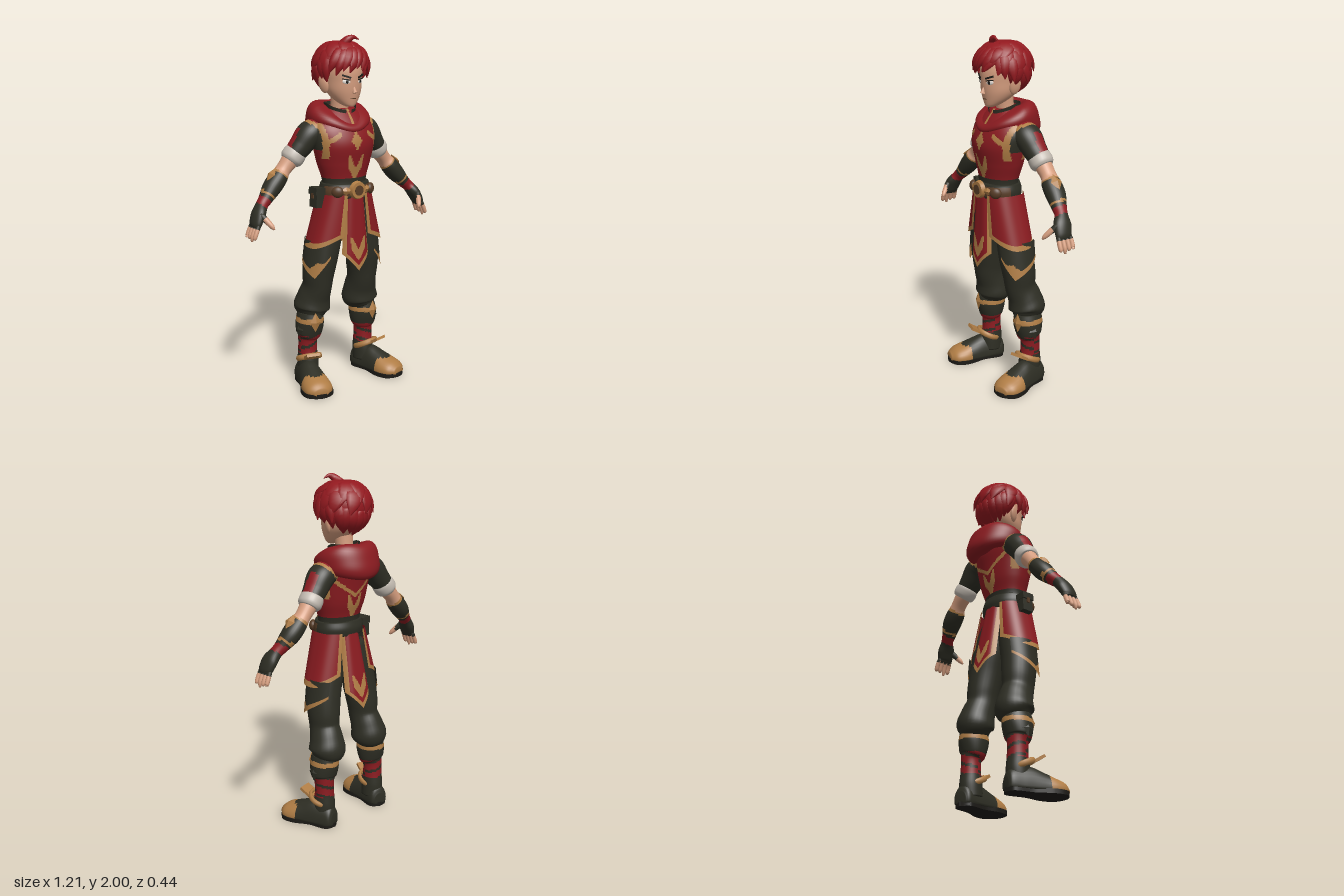
import * as THREE from 'three';
import { mergeVertices } from 'three/addons/utils/BufferGeometryUtils.js';

const V = (x, y, z) => new THREE.Vector3(x, y, z);
const { sin, cos, abs, min, max, sign, PI } = Math;

// Surface from fn(u, v); paint(point, u, v) names the colour of each cell
function grid(fn, nu, nv, paint) {
  const pts = [], cells = {};
  for (let j = 0; j <= nv; j++) for (let i = 0; i <= nu; i++) pts.push(fn(i / nu, j / nv));
  for (let j = 0; j < nv; j++) for (let i = 0; i < nu; i++) {
    const a = j * (nu + 1) + i, b = a + 1, d = a + nu + 1, c = d + 1;
    const mid = V(0, 0, 0).add(pts[a]).add(pts[b]).add(pts[c]).add(pts[d]).multiplyScalar(0.25);
    const key = typeof paint === 'string' ? paint : paint(mid, (i + 0.5) / nu, (j + 0.5) / nv);
    (cells[key] ??= []).push(a, b, c, a, c, d);
  }
  let g = new THREE.BufferGeometry().setFromPoints(pts);
  g.setIndex(Object.values(cells).flat());
  let start = 0;
  Object.values(cells).forEach((list, k) => { g.addGroup(start, list.length, k); start += list.length; });
  g = mergeVertices(g, 1e-5);
  g.computeVertexNormals();
  g.userData.colours = Object.keys(cells);
  return g;
}

// Capped tube through rows [x, y, z, radius along ref, radius across]; axis fixes the ring direction
function loft(rows, paint, nu = 24, nv = 24, ref = V(0, 0, 1), axis = null) {
  const path = new THREE.CatmullRomCurve3(rows.map(r => V(r[0], r[1], r[2])), false, 'catmullrom');
  const size = new THREE.CatmullRomCurve3(rows.map(r => V(r[3], r[4], 0)), false, 'catmullrom');
  return grid((u, v) => {
    const j = Math.round(v * nv), t = min(1, max(0, (j - 1) / (nv - 2)));
    const k = j === 0 || j === nv ? 0 : 1;
    const c = path.getPoint(t), dir = axis ?? path.getTangent(t), s = size.getPoint(t);
    const a = ref.clone().addScaledVector(dir, -ref.dot(dir)).normalize(), b = dir.clone().cross(a);
    const w = (u % 1) * 2 * PI;
    return c.addScaledVector(a, k * s.x * cos(w)).addScaledVector(b, k * s.y * sin(w));
  }, nu, nv, paint);
}

const place = (g, pos, rot = [0, 0, 0], scale = [1, 1, 1]) => g.applyMatrix4(new THREE.Matrix4().compose(
  V(...pos), new THREE.Quaternion().setFromEuler(new THREE.Euler(...rot)), V(...scale)));
const ball = (pos, scale, rot) => place(new THREE.SphereGeometry(1, 20, 14), pos, rot, scale);
const box = (pos, size, rot) => place(new THREE.BoxGeometry(1, 1, 1), pos, rot, size);
const gem = (pos, size, rot) => place(new THREE.OctahedronGeometry(1), pos, rot, size);

function mirrored(g) {
  const m = g.clone().scale(-1, 1, 1);
  const ix = m.index ? [...m.index.array] : [...Array(m.attributes.position.count).keys()];
  for (let i = 0; i < ix.length; i += 3) [ix[i], ix[i + 1]] = [ix[i + 1], ix[i]];
  m.setIndex(ix);
  return m;
}

// Two-horned flame emblem centred at the origin
const flame = (x, y) => {
  const X = abs(x);
  if (y > 0) return y < 0.07 && abs(X - 0.024 - 0.3 * y) < 0.022 - 0.22 * y;
  return y > -0.06 && X < 0.046 + 0.62 * y;
};

export function createModel() {
  const model = new THREE.Group();
  const colours = { hair: 0x93191f, cloth: 0x8a1b20, gold: 0xb07d45, dark: 0x2e2e24, leather: 0x573c26,
    skin: 0xd69e7f, linen: 0xc2bab0, sole: 0x1d1b17, eyeWhite: 0xe6dfd8 };
  const mats = {};
  for (const [name, hex] of Object.entries(colours)) {
    mats[name] = new THREE.MeshStandardMaterial({ color: hex, side: THREE.DoubleSide });
    mats[name].name = name;
  }
  const part = (name, g, colour, pair = false) => {
    const list = g.userData.colours?.map(c => mats[c]);
    const mat = colour ? mats[colour] : list.length > 1 ? list : list[0];
    [g, ...(pair ? [mirrored(g)] : [])].forEach((geo, i) => {
      const mesh = new THREE.Mesh(geo, mat);
      mesh.name = pair ? (i ? 'right' : 'left') + name[0].toUpperCase() + name.slice(1) : name;
      model.add(mesh);
    });
  };

  // Tunic
  part('tunic', loft([[0, 1.0, 0.02, 0.09, 0.135], [0, 1.1, 0.03, 0.103, 0.14], [0, 1.2, 0.025, 0.1, 0.135],
    [0, 1.3, 0.02, 0.12, 0.165], [0, 1.4, 0.02, 0.135, 0.19], [0, 1.48, 0.005, 0.13, 0.2],
    [0, 1.54, -0.01, 0.11, 0.17], [0, 1.6, -0.02, 0.07, 0.09]], ({ x, y, z }) => {
    const X = abs(x), trim = X - 0.165 - (y - 1.42) * 0.1;
    if (y < 1.22) return 'dark';
    if (y > 1.33 && abs(trim) < 0.013) return 'gold';
    if (y > 1.38 && trim > 0) return 'dark';
    if (flame(x, y - 1.28)) return 'gold';
    if (z > 0.02) return X / 0.036 + abs(y - 1.43) / 0.055 < 1 || (X < 0.008 && y > 1.43) ||
      (X > 0.09 && X < 0.17 && abs(y - 1.53 + 0.67 * X) < 0.014) ? 'gold' : 'cloth';
    return X < 0.17 && abs(y - 1.34 - 0.7 * X) < 0.012 ? 'gold' : 'cloth';
  }, 128, 120, V(0, 0, 1), V(0, 1, 0)));

  // Hood draped round the neck: low in front, full behind
  part('hood', grid((u, v) => {
    const f = (u % 1) * 2 * PI, p = (v % 1) * 2 * PI, back = (1 - cos(f)) / 2, front = max(0, cos(f));
    const fold = 1 + 0.1 * sin(3 * p + 2 * cos(f));
    const ry = (0.047 + 0.046 * back) * fold * (1 - 0.15 * front);
    const ring = (0.046 + 0.024 * back) * fold * cos(p) - 0.018 * sin(p);
    const y = 1.556 - 0.026 * front - 0.03 * front ** 6 - 0.02 * back ** 8;
    return V((0.127 + ring) * sin(f), y + ry * sin(p), -0.032 + (0.118 + ring) * cos(f));
  }, 72, 36, 'cloth'));
  part('collar', grid((u, v) => {
    const f = 0.2 + u * (2 * PI - 0.4);
    return V((0.07 + 0.022 * v) * sin(f), 1.5 + v * (0.13 - 0.035 * max(0, cos(f))), -0.015 + (0.078 + 0.012 * v) * cos(f));
  }, 32, 6, 'dark'));
  part('neck', loft([[0, 1.5, -0.03, 0.055, 0.06], [0, 1.6, -0.02, 0.05, 0.05], [0, 1.7, -0.01, 0.055, 0.055]], 'skin', 20, 8));

  // Head and face
  part('head', loft([[0, 1.614, 0.08, 0.022, 0.022], [0, 1.628, 0.063, 0.045, 0.046], [0, 1.66, 0.036, 0.079, 0.076],
    [0, 1.7, 0.015, 0.107, 0.097], [0, 1.75, 0, 0.126, 0.106], [0, 1.82, -0.005, 0.13, 0.112],
    [0, 1.9, -0.005, 0.1, 0.09], [0, 1.935, -0.005, 0.03, 0.03]], 'skin', 40, 36, V(0, 0, 1), V(0, 1, 0)));
  part('nose', place(new THREE.ConeGeometry(0.016, 0.055, 10), [0, 1.716, 0.121], [-0.25, 0, 0], [0.8, 1, 1]), 'skin');
  part('mouth', box([0, 1.659, 0.114], [0.034, 0.004, 0.005]), 'leather');
  part('ear', ball([0.117, 1.735, -0.005], [0.015, 0.05, 0.03], [-0.2, -0.4, -0.25]), 'skin', true);
  part('eye', ball([0.046, 1.752, 0.112], [0.023, 0.012, 0.004], [0, 0.42, 0.1]), 'eyeWhite', true);
  part('iris', ball([0.043, 1.752, 0.1155], [0.009, 0.011, 0.003], [0, 0.4, 0]), 'sole', true);
  part('eyelid', box([0.047, 1.764, 0.114], [0.046, 0.005, 0.007], [0, 0.42, 0.12]), 'sole', true);
  part('brow', box([0.047, 1.78, 0.116], [0.052, 0.01, 0.008], [0, 0.42, 0.3]), 'sole', true);

  // Hair: a smooth cap, flat crown locks, a swept fringe and flicked-out ends
  const limit = f => 1.3 + 1.15 * (1 - cos(f)) / 2;
  const scalp = (f, th, k) => V(0.14 * k * sin(th) * sin(f), 1.832 + 0.135 * k * cos(th), -0.01 + 0.15 * k * sin(th) * cos(f));
  part('hairCap', grid((u, v) => scalp(-(u % 1) * 2 * PI, v * limit(u * 2 * PI), 1.02), 40, 20, 'hair'));
  let seed = 7;
  const rand = () => (seed = (seed * 16807) % 2147483647) / 2147483647;
  const lock = (f, th, len, sweep, w, thick, flick) => {
    const end = th + len, at = (s, k) => scalp(f + sweep * s, th + len * s, k);
    part('hairLock', loft([[...at(0, 0.97), thick * 0.6, w * 0.6], [...at(0.35, 1.02), thick, w],
      [...at(0.7, 1.03 + flick * 0.3), thick * 0.9, w * 0.75], [...scalp(f + sweep, end, 1.03 + flick), 0.002, 0.003]],
    'hair', 10, 11, at(0.4, 1).sub(V(0, 1.832, -0.01)).normalize()));
  };
  for (let i = 0; i < 9; i++) lock(i / 9 * 2 * PI, 0.12, 1.15 + 0.2 * rand(), -0.55, 0.05, 0.012, 0.08);
  for (let i = 0; i < 11; i++) {
    const f = (i + 0.4 * rand()) / 11 * 2 * PI;
    lock(f, 0.6, min(1.2, limit(f) - 0.35), -0.4, 0.05, 0.013, 0.08 + 0.06 * rand());
  }
  for (let i = 0; i < 15; i++) {
    const f = 0.95 + (i + 0.5 * rand()) / 15 * (2 * PI - 1.9);
    lock(f, limit(f) - 0.75, 0.95 + 0.2 * rand(), 0.15 - 0.3 * rand(), 0.036, 0.018, 0.1 + 0.14 * rand());
  }
  for (let i = 0; i < 7; i++) lock(0.95 - i * 0.25, 0.6, 0.95 + 0.12 * (i % 2) + 0.04 * i, -0.5, 0.034, 0.02, 0.05 + 0.08 * rand());
  for (const s of [1, -1]) {
    lock(s * 1.25, 1.25, 0.95, s * 0.05, 0.022, 0.014, 0.02);
    lock(s * 1.75, 1.3, 0.75, s * 0.2, 0.034, 0.018, 0.22);
  }
  part('topLock', loft([[-0.02, 1.94, 0.03, 0.035, 0.03], [0, 1.975, 0.06, 0.022, 0.022],
    [0.03, 1.988, 0.07, 0.01, 0.012], [0.065, 1.975, 0.075, 0.002, 0.002]], 'hair', 10, 12));

  // Sleeves, cuffs, arms and hands
  part('sleeve', loft([[0.12, 1.49, -0.03, 0.07, 0.065], [0.19, 1.465, -0.035, 0.08, 0.073],
    [0.245, 1.4, -0.045, 0.07, 0.065], [0.292, 1.345, -0.055, 0.06, 0.056]], ({ x, y, z }) => {
    if (x - y < -1.345) return 'cloth';
    if (x - y < -1.312) return 'gold';
    return x + y > 1.68 && x > 0.255 && abs(z + 0.055) < 0.03 ? 'cloth' : 'dark';
  }, 40, 36), null, true);
  part('cuff', loft([[0.262, 1.378, -0.05, 0.058, 0.055], [0.276, 1.36, -0.053, 0.067, 0.065],
    [0.298, 1.332, -0.057, 0.067, 0.065], [0.31, 1.317, -0.059, 0.056, 0.053]], 'linen', 28, 12), null, true);
  part('arm', loft([[0.2, 1.46, -0.04, 0.05, 0.05], [0.29, 1.345, -0.055, 0.05, 0.05], [0.35, 1.275, -0.06, 0.045, 0.042],
    [0.385, 1.235, -0.055, 0.056, 0.05], [0.43, 1.185, -0.05, 0.056, 0.051], [0.48, 1.13, -0.035, 0.042, 0.038],
    [0.51, 1.1, -0.025, 0.037, 0.033], [0.54, 1.06, -0.01, 0.052, 0.033], [0.562, 1.015, 0, 0.05, 0.028],
    [0.57, 0.99, 0, 0.044, 0.02]], ({ x, y }) => {
    const d = (x - 0.2) * 0.66 + (1.48 - y) * 0.75;
    if (d < 0.28) return 'skin';
    if (d < 0.292 || (d > 0.415 && d < 0.43)) return 'gold';
    return d > 0.448 && d < 0.495 ? 'cloth' : 'dark';
  }, 28, 60), null, true);
  part('bracerPlate', gem([0.432, 1.258, -0.05], [0.016, 0.05, 0.036], [0, 0, 0.72]), 'gold', true);
  for (const z of [0.035, 0.012, -0.012, -0.035]) {
    const tip = 0.915 + abs(z - 0.01) * 0.6;
    part('finger', loft([[0.563, 1.01, z, 0.013, 0.014], [0.583, 0.968, z * 1.15, 0.013, 0.013],
      [0.594, 0.94, z * 1.15, 0.012, 0.012], [0.597, tip, z * 1.1, 0.006, 0.006]],
    p => (p.y > 0.985 ? 'dark' : 'skin'), 10, 12), null, true);
  }
  part('thumb', loft([[0.545, 1.06, 0.025, 0.018, 0.018], [0.525, 1.025, 0.06, 0.016, 0.016], [0.51, 1.0, 0.082, 0.013, 0.013],
    [0.502, 0.985, 0.092, 0.005, 0.005]], p => (p.z < 0.055 ? 'dark' : 'skin'), 10, 12, V(1, 0, 0)), null, true);

  // Belt, buckle and pouches
  part('belt', loft([[0, 1.11, 0.03, 0.121, 0.151], [0, 1.15, 0.03, 0.126, 0.154], [0, 1.19, 0.03, 0.115, 0.145]],
    p => (abs(p.y - 1.15) < 0.03 && p.z > 0.05 ? 'leather' : 'dark'), 48, 16));
  part('buckle', place(new THREE.CylinderGeometry(0.046, 0.052, 0.024, 20), [0, 1.155, 0.159], [PI / 2, 0, 0]), 'gold');
  part('buckleCentre', place(new THREE.CylinderGeometry(0.028, 0.028, 0.008, 16), [0, 1.155, 0.171], [PI / 2, 0, 0]), 'leather');
  part('buckleWing', gem([0.07, 1.155, 0.146], [0.045, 0.022, 0.012], [0, 0.3, 0]), 'gold', true);
  part('beltPouch', ball([0.112, 1.15, 0.122], [0.034, 0.032, 0.022], [0, 0.7, 0]), 'leather', true);
  part('sidePouch', box([-0.178, 1.11, 0.02], [0.055, 0.105, 0.07], [0, 0, -0.08]), 'dark');
  part('pouchFlap', box([-0.18, 1.15, 0.02], [0.062, 0.04, 0.076], [0, 0, -0.08]), 'dark');
  part('pouchClasp', box([-0.21, 1.125, 0.02], [0.008, 0.03, 0.02]), 'leather');

  // Skirt panels, front, back and sides
  const tabard = zAt => grid((u, v) => {
    const s = 2 * u - 1, low = 0.695 + 0.1 * abs(s), y = low + (1.12 - low) * v, drop = (1.12 - y) / 0.42;
    return V(s * (0.065 + 0.025 * min(1, drop * 1.3)), y, zAt(drop, s));
  }, 40, 70, (p, u, v) => (abs(2 * u - 1) > 0.78 || v < 0.07 || flame(p.x, p.y - 0.82) ? 'gold' : 'cloth'));
  part('frontTabard', tabard((d, s) => 0.152 + 0.022 * d - 0.035 * s ** 4));
  part('backTabard', tabard((d, s) => -0.092 - 0.085 * d + 0.04 * s ** 4));
  const bulge = a => sign(a) * abs(a) ** 0.75;
  part('sideSkirt', grid((u, v) => {
    const f = 0.27 + 2.45 * u, low = 0.895 - 0.065 * sin(PI * u), y = low + (1.13 - low) * v, d = (1.13 - y) / 0.3;
    return V((0.154 + 0.084 * d) * bulge(sin(f)), y, 0.027 - 0.012 * d + (0.12 + 0.014 * d) * bulge(cos(f)));
  }, 56, 40, (p, u, v) => (u < 0.06 || u > 0.94 || v < 0.1 ? 'gold' : 'cloth')), null, true);
  part('thighFlap', grid((u, v) => {
    const f = 0.1 + 2.5 * u, low = 0.66 + 0.35 * max(0.32 - u, 0) + 0.17 * max(u - 0.32, 0), y = low + (0.87 - low) * v;
    return V(0.135 + (0.87 - y) * 0.08 + (0.094 + 0.01 * (1 - v)) * sin(f), y, 0.002 + 0.112 * cos(f));
  }, 44, 36, (p, u, v) => (v < 0.17 + 0.25 * max(0, 1 - abs(u - 0.3) * 6) ? 'gold' : 'dark')), null, true);

  // Baggy trousers and wrapped shins
  part('trouserLeg', loft([[0.08, 1.04, 0.02, 0.09, 0.07], [0.112, 0.92, 0.008, 0.098, 0.095], [0.142, 0.78, 0.003, 0.102, 0.096],
    [0.155, 0.67, -0.01, 0.097, 0.09], [0.158, 0.59, -0.018, 0.091, 0.082], [0.165, 0.52, -0.042, 0.098, 0.094],
    [0.172, 0.455, -0.055, 0.106, 0.106], [0.18, 0.41, -0.05, 0.078, 0.074]], 'dark', 28, 40), null, true);
  part('shin', loft([[0.185, 0.425, -0.052, 0.082, 0.072], [0.19, 0.37, -0.05, 0.087, 0.08], [0.196, 0.305, -0.052, 0.072, 0.076],
    [0.2, 0.27, -0.058, 0.058, 0.056], [0.2, 0.2, -0.06, 0.057, 0.055], [0.2, 0.13, -0.058, 0.066, 0.06],
    [0.2, 0.06, -0.055, 0.066, 0.06]], ({ x, y, z }) => {
    if (y > 0.375 && y < 0.402) return 'gold';
    if (y > 0.3 || y < 0.18) return 'dark';
    return abs(((y + 0.35 * (x - 0.2) * (z > -0.05 ? 1 : -1)) % 0.06) - 0.03) < 0.021 ? 'cloth' : 'dark';
  }, 36, 60), null, true);
  part('kneeGem', gem([0.205, 0.385, 0.034], [0.034, 0.058, 0.014], [0, 0.15, 0]), 'gold', true);
  part('shinFlare', gem([0.265, 0.335, -0.045], [0.016, 0.045, 0.04], [0, 0, 0.15]), 'dark', true);

  // Boots turned slightly outward
  const turn = g => place(g, [0.225, 0, 0], [0, 0.25, 0]);
  const foot = loft([[0, 0.04, -0.138, 0.04, 0.035], [0, 0.04, -0.12, 0.08, 0.055], [0, 0.03, -0.06, 0.11, 0.064],
    [0, 0.03, 0, 0.115, 0.07], [0, 0.03, 0.06, 0.095, 0.078], [0, 0.03, 0.12, 0.072, 0.086],
    [0, 0.03, 0.175, 0.052, 0.076], [0, 0.03, 0.21, 0.025, 0.04]],
  p => (p.z > 0.105 + 0.025 * cos(p.x * 40) ? 'gold' : 'dark'), 28, 40, V(0, 1, 0), V(0, 0, 1));
  const pos = foot.attributes.position;
  for (let i = 0; i < pos.count; i++) pos.setY(i, max(pos.getY(i), 0.018));
  foot.computeVertexNormals();
  part('boot', turn(foot), null, true);
  const half = [[0.055, 0.11], [0.06, 0], [0.088, -0.1], [0.076, -0.18]];
  const outline = new THREE.Shape().moveTo(0, 0.143).splineThru([...half, [0, -0.216],
    ...half.map(([x, y]) => [-x, y]).reverse(), [0, 0.143]].map(p => new THREE.Vector2(...p)));
  part('sole', turn(new THREE.ExtrudeGeometry(outline, { depth: 0.024, bevelEnabled: false, curveSegments: 40 }).rotateX(-PI / 2)), 'sole', true);
  part('ankleStrap', turn(place(new THREE.TorusGeometry(0.066, 0.011, 8, 28), [-0.01, 0.155, -0.04], [PI / 2 - 0.45, 0, 0], [1, 1, 1.5])), 'gold', true);
  part('bootTongue', turn(box([0, 0.185, 0.035], [0.08, 0.016, 0.085], [-0.55, 0, 0])), 'gold', true);

  return model;
}
